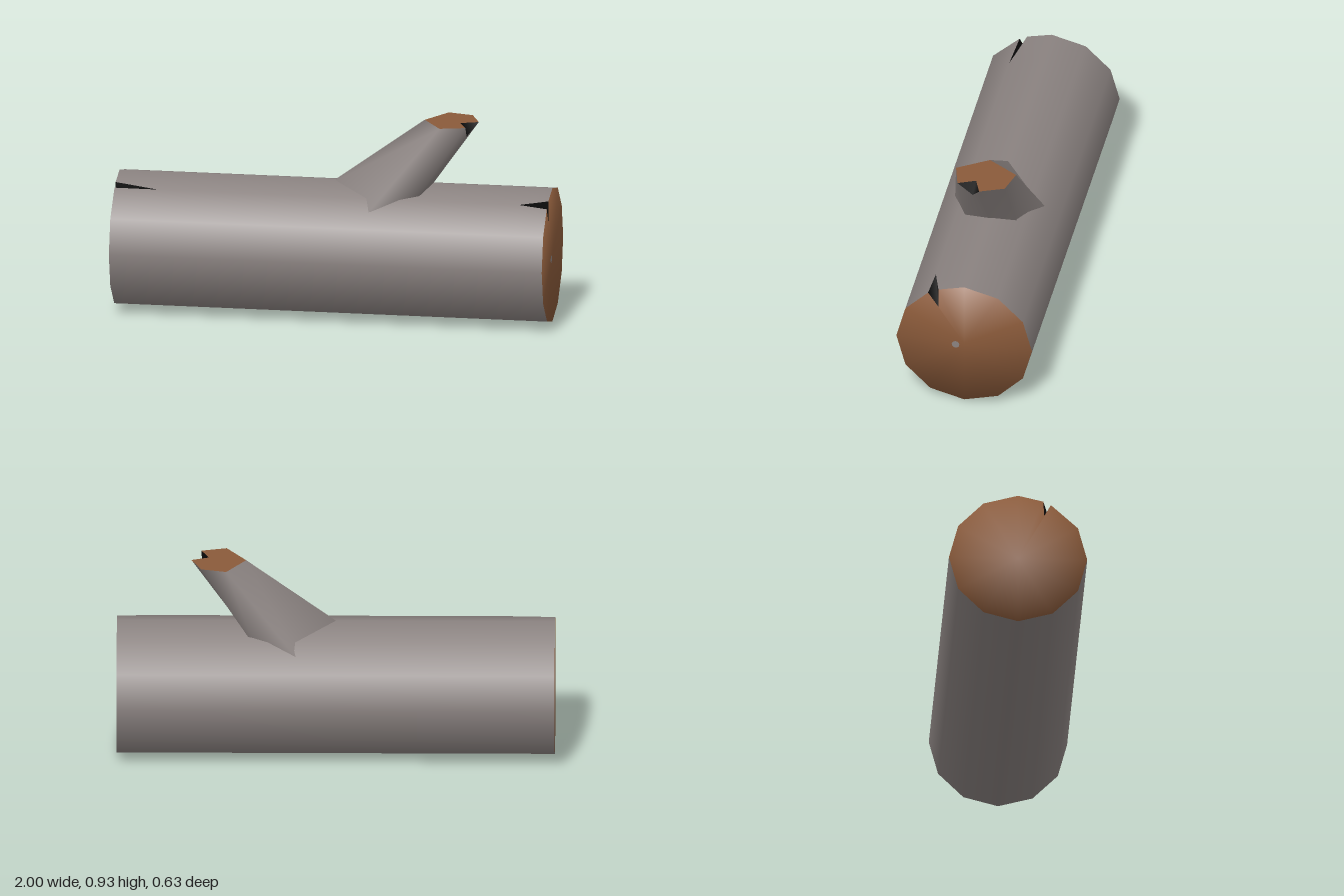
import * as THREE from 'three';

const bark = new THREE.MeshStandardMaterial({ color: 0x8a8280 });
bark.name = 'greyBark';
const wood = new THREE.MeshStandardMaterial({ color: 0x8a5a3a });
wood.name = 'cutWood';
const dark = new THREE.MeshStandardMaterial({ color: 0x080808, side: THREE.DoubleSide });
dark.name = 'darkCrack';

const R = 0.316;

// Indexed mesh from points; normals are computed unless a rule is given
function build(name, points, faces, material, normalRule) {
  const g = new THREE.BufferGeometry();
  g.setAttribute('position', new THREE.Float32BufferAttribute(points.flat(), 3));
  g.setIndex(faces.flat());
  if (normalRule) {
    const normals = points.map((p) => new THREE.Vector3(...normalRule(p)).normalize().toArray());
    g.setAttribute('normal', new THREE.Float32BufferAttribute(normals.flat(), 3));
  } else g.computeVertexNormals();
  const mesh = new THREE.Mesh(g, material);
  mesh.name = name;
  return mesh;
}

// Twelve-sided ring around the x axis; the vertex at 30 degrees is split in two
function logRing(x, a, b) {
  const pts = [];
  for (let k = 0; k < 12; k++) {
    const t = (k * Math.PI) / 6;
    if (k === 1) pts.push([x, ...a], [x, ...b]);
    else pts.push([x, R + R * Math.cos(t), R * Math.sin(t)]);
  }
  return pts;
}

function makeLog() {
  const group = new THREE.Group();
  group.name = 'log';
  const whole = [0.59, 0.158];
  // Crack lips, crack root (y, z) and the x where each crack closes
  const ends = [
    { x: -1, tip: -0.8, a: [0.605, 0.115], b: [0.588, 0.15], c: [0.53, 0.12] },
    { x: 1, tip: 0.87, a: [0.602, 0.12], b: [0.578, 0.168], c: [0.505, 0.12] },
  ];
  const rings = [
    logRing(-1, ends[0].a, ends[0].b),
    logRing(ends[0].tip, whole, whole),
    logRing(ends[1].tip, whole, whole),
    logRing(1, ends[1].a, ends[1].b),
  ];

  // Bark
  const faces = [];
  for (let r = 0; r < 3; r++) {
    for (let k = 0; k < 13; k++) {
      if (k === 1) continue;
      const n = (k + 1) % 13;
      const i = r * 13;
      const j = i + 13;
      faces.push([i + k, i + n, j + k], [i + n, j + n, j + k]);
    }
  }
  group.add(build('logBark', rings.flat(), faces, bark, (p) => [0, p[1] - R, p[2]]));

  // Cut ends with softly rounded shading, and the walls of each crack
  for (const e of ends) {
    const rim = logRing(e.x, e.a, e.b);
    rim.splice(2, 0, [e.x, ...e.c]);
    const fan = rim.map((_, k) => {
      const n = (k + 1) % rim.length;
      return e.x > 0 ? [0, k + 1, n + 1] : [0, n + 1, k + 1];
    });
    group.add(build('cutEnd', [[e.x, R, 0], ...rim], fan, wood,
      (p) => [e.x * 0.32, p[1] - R, p[2]]));
    group.add(build('endCrack',
      [[e.x, ...e.a], [e.x, ...e.c], [e.x, ...e.b], [e.tip, ...whole]],
      [[0, 1, 3], [1, 2, 3]], dark));
  }

  // Small pith spot
  const pith = new THREE.Mesh(new THREE.CircleGeometry(0.018, 12), bark);
  pith.name = 'pith';
  pith.rotation.y = Math.PI / 2;
  pith.position.set(1.001, 0.305, 0.04);
  group.add(pith);
  return group;
}

function makeBranch() {
  const group = new THREE.Group();
  group.name = 'branch';
  const top = [[0.41, 0.93, 0], [0.5, 0.93, 0.14], [0.615, 0.93, 0.11], [0.66, 0.93, 0]];
  const base = [[0, 0.632, 0], [0.2, 0.56, 0.205], [0.4, 0.6, 0.12], [0.45, 0.632, 0]];
  const mirrored = (half) => [...half, ...[2, 1].map((i) => [half[i][0], half[i][1], -half[i][2]])];
  // Sink the foot of the branch into the log
  const foot = base.map((p, i) => p.map((v, k) => v + 0.15 * (v - top[i][k])));
  const q = mirrored(top);
  const tip = [0.61, 0.87, 0.04];
  const root = [0.58, 0.93, 0.03];

  // Tapered bark, open where the crack splits it
  const faces = [];
  for (let i = 0; i < 6; i++) {
    const n = (i + 1) % 6;
    if (i === 2) faces.push([2, 3, 12], [2, 12, 8], [3, 9, 12]);
    else faces.push([i, n, n + 6], [i, n + 6, i + 6]);
  }
  group.add(build('branchBark', [...mirrored(foot), ...q, tip], faces, bark));

  // Cut top and crack walls
  const rim = [q[0], q[1], q[2], root, q[3], q[4], q[5]];
  group.add(build('branchCut', rim, [1, 2, 3, 4, 5].map((i) => [0, i, i + 1]), wood));
  group.add(build('branchCrack', [q[2], root, q[3], tip], [[0, 1, 3], [1, 2, 3]], dark));
  return group;
}

export function createModel() {
  const model = new THREE.Group();
  model.name = 'branchedLog';
  model.add(makeLog(), makeBranch());
  return model;
}
